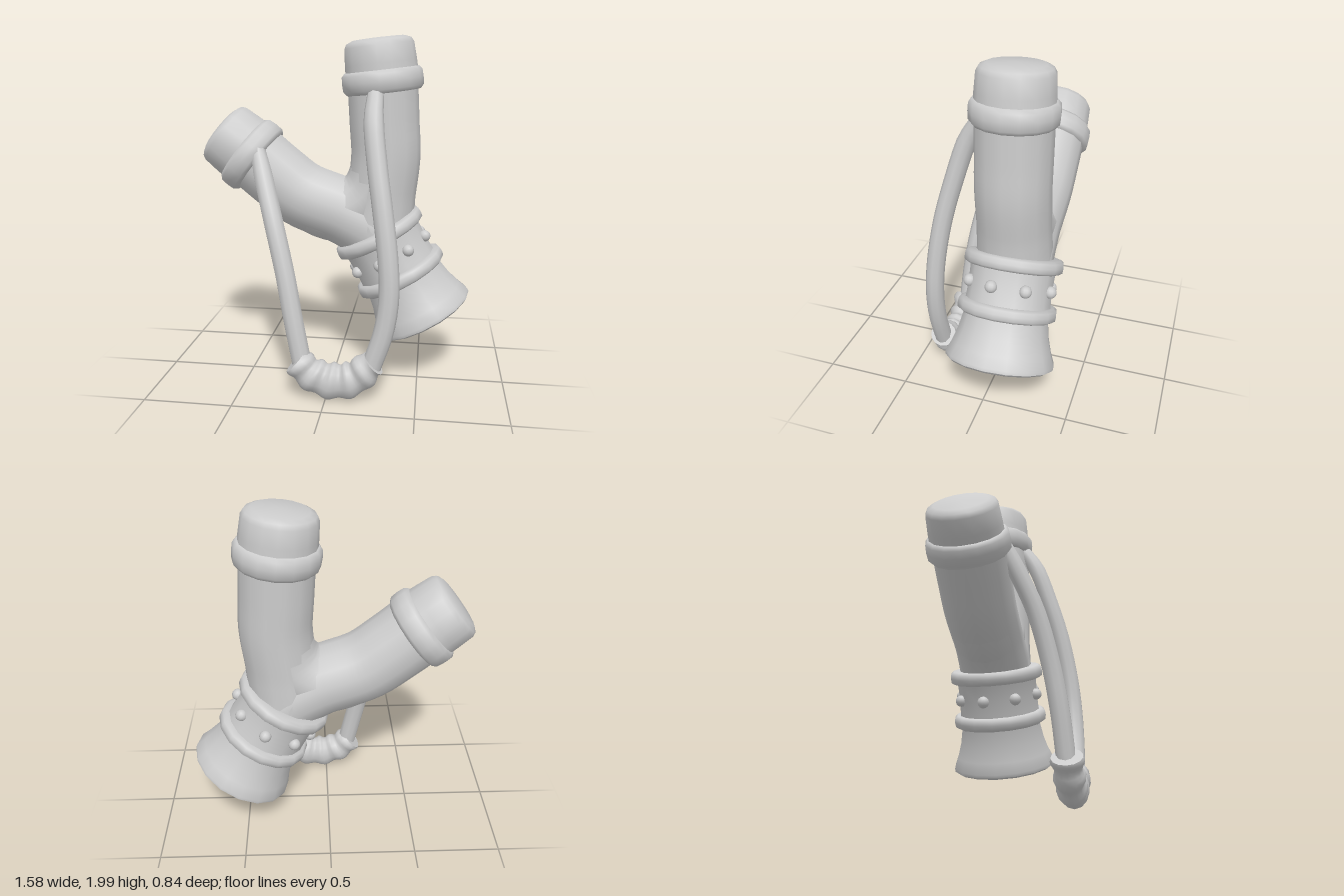
import * as THREE from 'three';
import { toCreasedNormals, mergeVertices } from 'three/addons/utils/BufferGeometryUtils.js';

const Z = -0.115; // depth of the fork's centre plane
const material = new THREE.MeshStandardMaterial({ color: 0xcccccc });

function add(parent, name, geometry) {
  const mesh = new THREE.Mesh(geometry, material);
  mesh.name = name;
  parent.add(mesh);
  return mesh;
}

// Closed sweep of an ellipse along a smooth path; radius(t, angle) gives [in-plane, depth]
function sweep(points, radius, rows = 24, sides = 14) {
  const curve = new THREE.CatmullRomCurve3(points.map(p => new THREE.Vector3(...p)), false, 'centripetal');
  const pos = [], index = [];
  const zAxis = new THREE.Vector3(0, 0, 1);
  for (let i = -1; i <= rows + 1; i++) {
    const t = THREE.MathUtils.clamp(i / rows, 0, 1);
    const c = curve.getPointAt(t), tan = curve.getTangentAt(t);
    const n = tan.clone().cross(zAxis).normalize(), b = tan.clone().cross(n);
    const end = i < 0 || i > rows ? 0.001 : 1;
    for (let j = 0; j < sides; j++) {
      const a = j / sides * Math.PI * 2, [rn, rb] = radius(t, a);
      const p = c.clone().addScaledVector(n, Math.cos(a) * rn * end).addScaledVector(b, Math.sin(a) * rb * end);
      pos.push(p.x, p.y, p.z);
      if (i <= rows) {
        const k = (i + 1) * sides, j2 = (j + 1) % sides;
        index.push(k + j, k + j2, k + sides + j, k + j2, k + sides + j2, k + sides + j);
      }
    }
  }
  const g = new THREE.BufferGeometry();
  g.setAttribute('position', new THREE.Float32BufferAttribute(pos, 3));
  g.setIndex(index);
  g.computeVertexNormals();
  return toCreasedNormals(g, 1.1);
}

// Turned part from [radius, height] pairs, bottom to top
function turned(profile, crease = 0.75, sides = 16) {
  const g = new THREE.LatheGeometry(profile.map(p => new THREE.Vector2(...p)), sides);
  g.deleteAttribute('uv');
  g.deleteAttribute('normal');
  return toCreasedNormals(mergeVertices(g, 1e-4), crease);
}

// Rounded collar with outer radius r and height h around y
function collar(r, h, y, inner) {
  return turned([
    [inner, y - h / 2], [r - 0.02, y - h / 2], [r - 0.003, y - h * 0.34], [r, y],
    [r - 0.003, y + h * 0.34], [r - 0.02, y + h / 2], [inner, y + h / 2],
  ], 0.9);
}

function axisGroup(name, x, y, tilt) {
  const g = new THREE.Group();
  g.name = name;
  g.position.set(x, y, Z);
  g.rotation.z = tilt;
  return g;
}

export function createModel() {
  const model = new THREE.Group();
  model.name = 'slingshot';

  // Forked body: three overlapping limbs that blend at the crotch
  const right = [[0.285, 1.32, Z], [0.275, 1.5, Z], [0.262, 1.72, Z]];
  const left = [[-0.2, 1.075, Z], [-0.35, 1.185, Z], [-0.5, 1.31, Z]];
  const root = [[0.36, 0.67, Z], [0.255, 0.86, Z]];
  const limb = t => { const r = 0.222 - 0.022 * Math.min(1, t * 2.5); return [r, r + 0.003]; };
  const body = new THREE.Group();
  body.name = 'forkBody';
  model.add(body);
  add(body, 'uprightLimb', sweep([...root, [0.26, 1.06, Z], ...right], limb));
  add(body, 'slantedLimb', sweep([...root, [0.06, 0.975, Z], ...left], limb));
  add(body, 'crotchBlend', sweep([...left.slice().reverse(), [0.01, 0.985, Z], [0.2, 1.08, Z], ...right],
    t => { const r = 0.198 - 0.012 * Math.sin(t * Math.PI); return [r, r + 0.006]; }, 36));

  // Flared handle with a studded band between two collars
  const handle = axisGroup('handle', 0.53, 0.36, 0.508);
  model.add(handle);
  add(handle, 'grip', turned([[0, -0.005], [0.285, 0], [0.303, 0.012], [0.305, 0.03], [0.28, 0.09],
    [0.255, 0.17], [0.238, 0.26], [0.235, 0.32]]));
  add(handle, 'studBand', turned([[0.246, 0.28], [0.238, 0.36], [0.235, 0.44], [0.238, 0.52], [0.246, 0.58]]));
  add(handle, 'lowerCollar', collar(0.278, 0.075, 0.306, 0.2));
  add(handle, 'upperCollar', collar(0.278, 0.075, 0.571, 0.2));
  for (let i = 0; i < 8; i++) {
    const a = (11 + i * 45) * Math.PI / 180;
    add(handle, 'stud', new THREE.SphereGeometry(0.034, 12, 8))
      .position.set(Math.cos(a) * 0.24, 0.44, Math.sin(a) * 0.24);
  }

  // Collar and rounded end cap on each prong
  for (const [name, x, y, tilt] of [['uprightTip', 0.26, 1.742, 0.115], ['slantedTip', -0.505, 1.308, 0.906]]) {
    const tip = axisGroup(name, x, y, tilt);
    model.add(tip);
    add(tip, 'tipCollar', collar(0.232, 0.125, 0, 0.17));
    add(tip, 'tipCap', turned([[0.208, 0], [0.204, 0.1], [0.197, 0.195], [0.184, 0.22], [0.15, 0.235], [0, 0.241]], 0.85));
  }

  // Elastic strands hanging in front
  const strand = t => { const r = 0.056 - 0.012 * Math.max(0, 1 - t * 8); return [r, r - 0.004]; };
  add(model, 'slantedStrand', sweep([[-0.43, 1.36, 0.05], [-0.38, 1.2, 0.12], [-0.31, 0.98, 0.21], [-0.235, 0.7, 0.275],
    [-0.185, 0.45, 0.31], [-0.13, 0.18, 0.33]], strand, 20, 10));
  add(model, 'uprightStrand', sweep([[0.24, 1.7, 0.06], [0.235, 1.55, 0.145], [0.265, 1.3, 0.225], [0.3, 1.08, 0.28],
    [0.335, 0.82, 0.32], [0.345, 0.62, 0.335], [0.32, 0.42, 0.34], [0.25, 0.2, 0.34]], strand, 24, 10));

  // Wrinkled pouch joining the strands
  add(model, 'pouch', sweep([[-0.165, 0.22, 0.335], [-0.08, 0.145, 0.335], [0.04, 0.11, 0.335], [0.16, 0.135, 0.335],
    [0.262, 0.235, 0.335]], (t, a) => {
    const mid = Math.sin(t * Math.PI);
    const fold = 0.008 * Math.sin(t * 31 + Math.cos(a) * 0.8);
    return [0.076 + 0.026 * mid + fold, 0.083 - 0.006 * mid + fold];
  }, 30, 14));

  return model;
}
